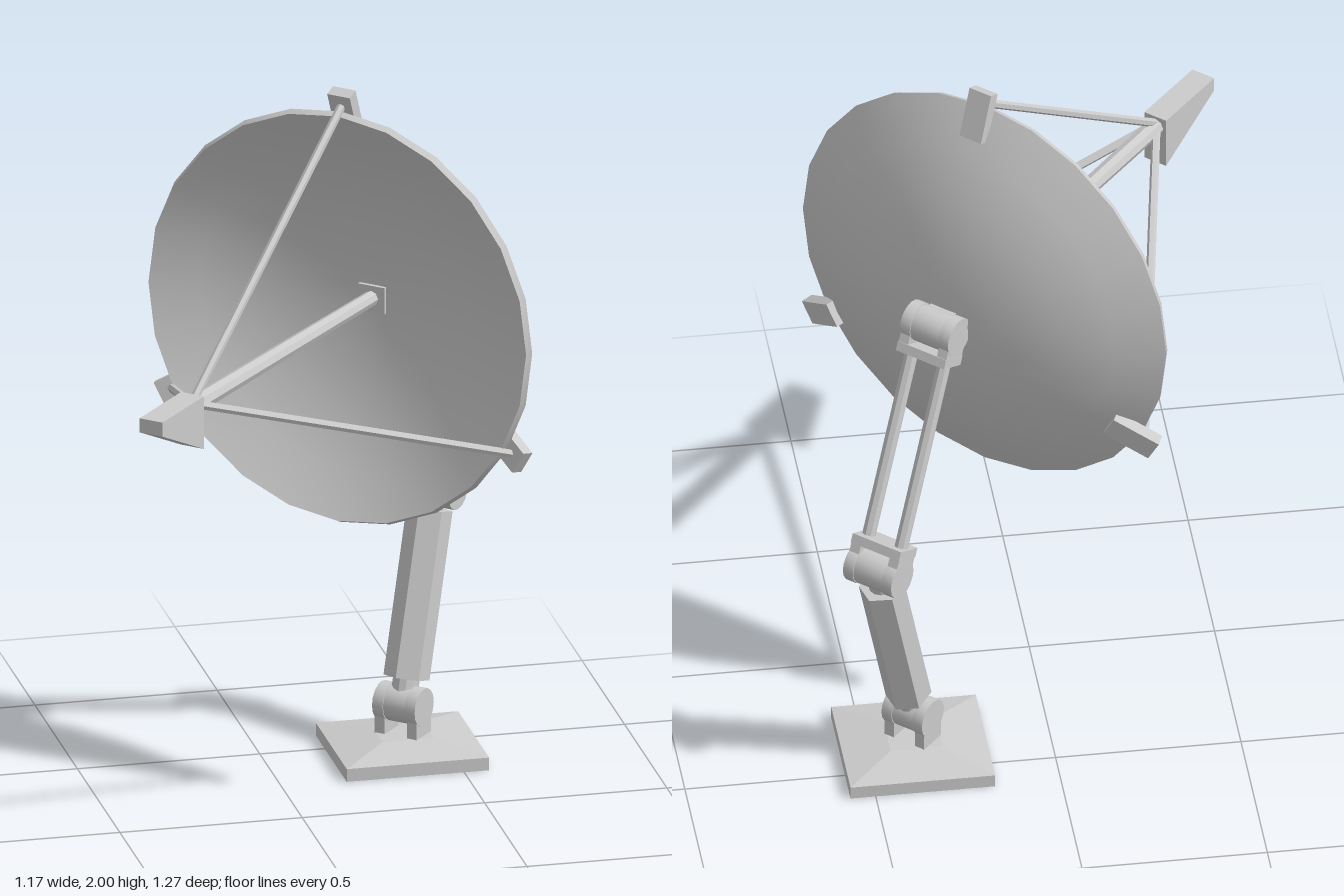
import * as THREE from 'three';
import { toCreasedNormals } from 'three/addons/utils/BufferGeometryUtils.js';

const smooth = new THREE.MeshStandardMaterial({ color: 0xcccccc });
const flat = new THREE.MeshStandardMaterial({ color: 0xcccccc, flatShading: true });
const V = (x, y, z) => new THREE.Vector3(x, y, z);

function add(parent, name, geometry, material = flat, x = 0, y = 0, z = 0) {
  const mesh = new THREE.Mesh(geometry, material);
  mesh.name = name;
  mesh.position.set(x, y, z);
  parent.add(mesh);
  return mesh;
}

function addBox(parent, name, w, h, d, x, y, z) {
  return add(parent, name, new THREE.BoxGeometry(w, h, d), flat, x, y, z);
}

// Faceted bar running from point a to point b
function addBar(parent, name, a, b, rA, rB, sides = 6) {
  const dir = b.clone().sub(a);
  const bar = add(parent, name, new THREE.CylinderGeometry(rB, rA, dir.length(), sides));
  bar.position.copy(a).addScaledVector(dir, 0.5);
  bar.quaternion.setFromUnitVectors(V(0, 1, 0), dir.normalize());
  return bar;
}

// Cylinder lying across the arm (along x)
function addPin(parent, name, r, w, x = 0) {
  const geometry = toCreasedNormals(new THREE.CylinderGeometry(r, r, w, 16).rotateZ(Math.PI / 2), 0.6);
  return add(parent, name, geometry, smooth, x);
}

// Hinge: centre barrel between two round cheeks that extend along +y to a height
function hinge(name, width, r, reach) {
  const g = new THREE.Group();
  g.name = name;
  addPin(g, 'barrel', r * 0.95, width - 0.05);
  for (const side of [-1, 1]) {
    const x = side * (width / 2 - 0.016);
    addPin(g, 'cheek', r, 0.032, x);
    addBox(g, 'cheekArm', 0.03, reach, r * 1.5, x, reach / 2, 0);
  }
  return g;
}

export function createModel() {
  const model = new THREE.Group();
  model.name = 'dishAntenna';

  // Square base with a shallow pyramid top
  addBox(model, 'basePlate', 0.39, 0.036, 0.365, 0.373, 0.018, -0.422);
  const slope = new THREE.BoxGeometry(0.39, 0.024, 0.365);
  const p = slope.attributes.position;
  for (let i = 0; i < p.count; i++) {
    if (p.getY(i) > 0) p.setXYZ(i, p.getX(i) * 0.36, p.getY(i), p.getZ(i) * 0.36);
  }
  add(model, 'baseSlope', slope, flat, 0.373, 0.048, -0.422);

  // Everything else is turned together; local +z is the dish axis
  const rig = new THREE.Group();
  rig.name = 'rig';
  rig.position.set(0.14, 0, -0.163);
  rig.rotation.y = -0.734;
  model.add(rig);

  const foot = V(0, 0.14, -0.35);
  const elbow = V(0, 0.708, -0.515);
  const wrist = V(0, 1.347, -0.243);

  // Foot hinge, its cheeks reaching down to the base
  const footHinge = hinge('footHinge', 0.13, 0.053, 0.09);
  footHinge.position.copy(foot);
  footHinge.rotation.x = Math.PI;
  rig.add(footHinge);

  // Lower arm: thin shaft inside a hexagonal sleeve
  const along = (t) => foot.clone().lerp(elbow, t);
  addBar(rig, 'lowerShaft', foot, elbow, 0.036, 0.036, 12);
  addBar(rig, 'lowerSleeve', along(0.12), along(0.895), 0.062, 0.062, 6);

  // Upper arm: two parallel rods between forked hinges
  const upper = new THREE.Group();
  upper.name = 'upperArm';
  upper.position.copy(elbow);
  upper.rotation.x = Math.atan2(wrist.z - elbow.z, wrist.y - elbow.y);
  rig.add(upper);
  const span = wrist.distanceTo(elbow);
  const elbowHinge = hinge('elbowHinge', 0.155, 0.054, 0.075);
  const wristHinge = hinge('wristHinge', 0.155, 0.054, 0.075);
  wristHinge.position.y = span;
  wristHinge.rotation.x = Math.PI;
  for (const h of [elbowHinge, wristHinge]) {
    addBox(h, 'crossPlate', 0.155, 0.026, 0.086, 0, 0.072, 0);
    upper.add(h);
  }
  for (const x of [-0.052, 0.052]) {
    addBar(upper, 'upperRod', V(x, 0.07, 0), V(x, span - 0.07, 0), 0.019, 0.019, 8);
  }

  // Mount joining the wrist to the back of the dish
  addBox(rig, 'dishMount', 0.08, 0.075, 0.06, 0, 1.35, -0.205);

  // Dish: thin spherical shell with a flat rim
  const R = 0.956, rim = 0.585, wall = 0.018;
  const radii = [0, 0.1, 0.225, 0.345, 0.47, rim];
  const depth = (r) => Math.sqrt(R * R - rim * rim) - Math.sqrt(R * R - r * r);
  const outer = radii.map((r) => new THREE.Vector2(r, depth(r) - 0.006));
  const inner = radii.map((r) => new THREE.Vector2(r * 0.985, depth(r) + wall - 0.006)).reverse();
  const shell = new THREE.LatheGeometry([...outer, ...inner], 24).rotateX(Math.PI / 2);
  add(rig, 'dish', toCreasedNormals(shell, 0.6), smooth, 0, 1.355, 0);

  // Feed horn: wedge tapering away from the dish
  const wedge = new THREE.Shape([[0.81, 1.25], [1.04, 1.36], [1.04, 1.4], [0.81, 1.4]]
    .map(([z, y]) => new THREE.Vector2(z, y)));
  const horn = new THREE.ExtrudeGeometry(wedge, { depth: 0.07, bevelEnabled: false });
  horn.translate(0, 0, -0.035).rotateY(-Math.PI / 2);
  add(rig, 'feedHorn', horn);

  // Central boom
  addBar(rig, 'boom', V(0, 1.352, -0.187), V(0, 1.367, 0.82), 0.021, 0.026, 8);

  // Three rim clips, each with a strut to the horn
  for (let i = 0; i < 3; i++) {
    const a = (i * Math.PI * 2) / 3;
    const holder = new THREE.Group();
    holder.name = 'rimClip';
    holder.position.y = 1.355;
    holder.rotation.z = a;
    rig.add(holder);
    addBox(holder, 'clip', 0.069, 0.138, 0.034, 0, 0.573, -0.035).rotation.x = 0.36;
    const start = V(-Math.sin(a) * 0.597, 1.355 + Math.cos(a) * 0.597, -0.01);
    addBar(rig, 'strut', start, V(0, 1.375, 0.815), 0.012, 0.012, 6);
  }
  return model;
}
